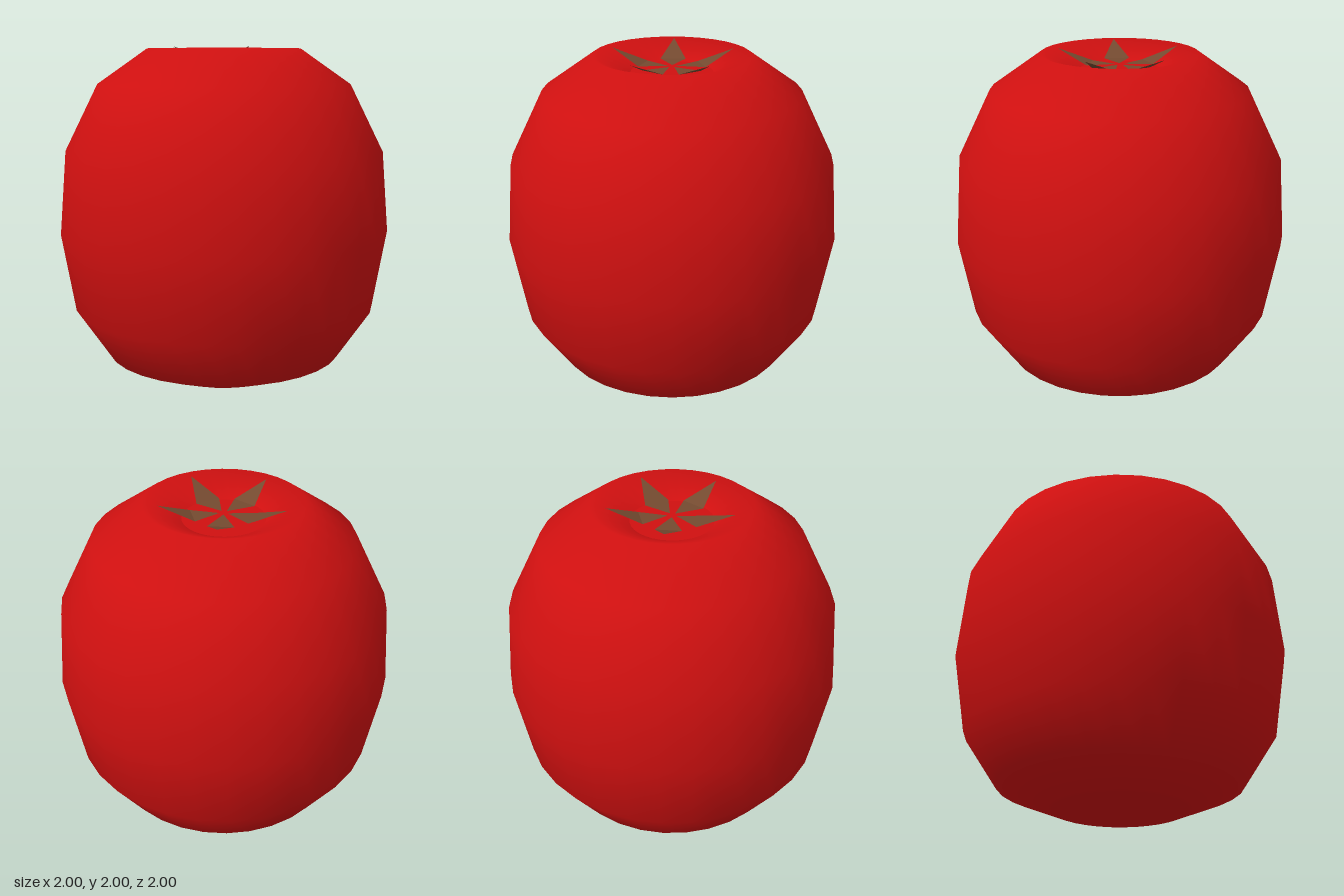
import * as THREE from 'three';

const SIDES = 32;

export function createModel() {
  const red = new THREE.MeshStandardMaterial({ color: 0xd01010 });
  red.name = 'skin red';
  const brown = new THREE.MeshStandardMaterial({ color: 0x744a30, side: THREE.DoubleSide });
  brown.name = 'leaf brown';

  const model = new THREE.Group();
  model.name = 'fruit';

  const add = (name, geometry, material, parent = model) => {
    const mesh = new THREE.Mesh(geometry, material);
    mesh.name = name;
    parent.add(mesh);
    return mesh;
  };

  // Round body, ending in a shallow dip at the top
  const profile = [
    [0.40, 0], [0.72, 0.13], [0.92, 0.43], [1.0, 0.9], [0.96, 1.38],
    [0.76, 1.78], [0.46, 1.99], [0.24, 1.89],
  ].map(([x, y]) => new THREE.Vector2(x, y));
  add('body', new THREE.LatheGeometry(profile, SIDES), red);

  // Flat discs closing the underside and the dip
  add('base', new THREE.CircleGeometry(0.40, SIDES).rotateX(Math.PI / 2), red);
  add('dipFloor', new THREE.CircleGeometry(0.24, SIDES).rotateX(-Math.PI / 2), red).position.y = 1.89;

  // Star of five leaves, each bent upward toward its tip
  const base = [0.025, 1.92, 0];
  const left = [0.18, 1.92, 0.075];
  const right = [0.18, 1.92, -0.075];
  const tip = [0.375, 2.0, 0];
  const leafGeometry = new THREE.BufferGeometry();
  leafGeometry.setAttribute('position', new THREE.Float32BufferAttribute(
    [base, left, right, tip, right, left].flat(), 3));
  leafGeometry.computeVertexNormals();

  const crown = new THREE.Group();
  crown.name = 'leafCrown';
  model.add(crown);
  for (let i = 0; i < 5; i++) {
    add('leaf', leafGeometry, brown, crown).rotation.y = (i * Math.PI * 2) / 5;
  }

  return model;
}
